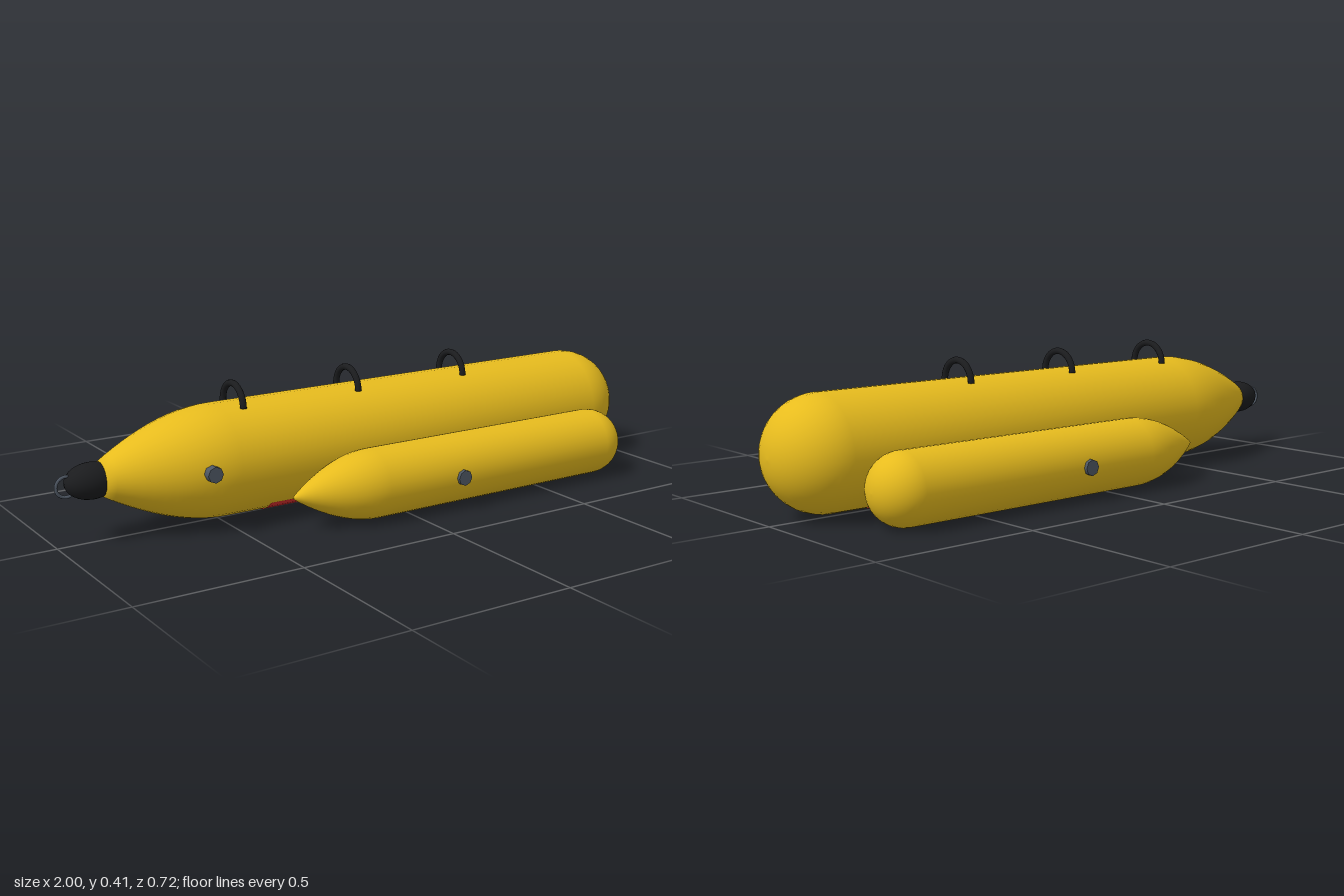
import * as THREE from 'three';

const mat = (name, color) => {
  const m = new THREE.MeshStandardMaterial({ color });
  m.name = name;
  return m;
};

// Inflated tube along x: blunt nose at x0, full radius from x1 to x2, round tail
function tubeGeometry(x0, x1, x2, noseR, R) {
  const pts = [new THREE.Vector2(0, x0)];
  const n = 12;
  for (let i = 0; i <= n; i++) {
    const t = i / n;
    const swell = Math.sin(t * Math.PI / 2) ** 0.93;
    pts.push(new THREE.Vector2(noseR + (R - noseR) * swell, x0 + (x1 - x0) * t));
  }
  for (let i = 0; i <= n; i++) {
    const a = (i / n) * Math.PI / 2;
    pts.push(new THREE.Vector2(i === n ? 0 : R * Math.cos(a), x2 + R * Math.sin(a)));
  }
  return new THREE.LatheGeometry(pts, 32).rotateZ(-Math.PI / 2);
}

export function createModel() {
  const yellow = mat('yellow vinyl', 0xeabe1e);
  const black = mat('black rubber', 0x1b1c1e);
  const grey = mat('grey fitting', 0x4f5864);
  const red = mat('red patch', 0xdc2f2f);
  red.side = THREE.DoubleSide;

  const group = new THREE.Group();
  const add = (name, geometry, material, x = 0, y = 0, z = 0) => {
    const mesh = new THREE.Mesh(geometry, material);
    mesh.name = name;
    mesh.position.set(x, y, z);
    group.add(mesh);
  };

  const R = 0.169, hullY = 0.182;
  const r = 0.105, sideY = 0.106, sideZ = 0.245;

  // Main tube
  add('mainTube', tubeGeometry(-0.87, -0.5, 0.831, 0.046, R), yellow, 0, hullY, 0);

  // Side tubes
  for (const s of [1, -1]) {
    add('sideTube', tubeGeometry(-0.38, -0.11, 0.732, 0.004, r), yellow, 0, sideY, s * sideZ);
  }

  // Valves: one on the main tube, one on the outside of each side tube
  const valve = new THREE.CylinderGeometry(0.024, 0.024, 0.03, 8).rotateX(Math.PI / 2);
  add('mainValve', valve, grey, -0.592, 0.193, 0.165);
  for (const s of [1, -1]) add('sideValve', valve, grey, 0.15, sideY, s * 0.345);

  // Grab handles across the top
  const handle = new THREE.TorusGeometry(0.063, 0.01, 10, 24, Math.PI).rotateY(Math.PI / 2);
  for (const x of [-0.438, -0.04, 0.358]) add('handle', handle, black, x, 0.34, 0);

  // Nose cap and tow ring
  add('noseCap', new THREE.SphereGeometry(0.053, 24, 16).scale(1.5, 1, 1), black, -0.89, hullY, 0);
  add('towRing', new THREE.TorusGeometry(0.03, 0.005, 8, 24), grey, -0.965, 0.176, 0);

  // Red patches wrapped round the belly
  const half = 0.75;
  for (const x of [-0.38, 0.02, 0.42]) {
    const edge = [new THREE.Vector2(R + 0.002, x), new THREE.Vector2(R + 0.002, x + 0.285)];
    const geometry = new THREE.LatheGeometry(edge, 8, Math.PI / 2 - half, 2 * half).rotateZ(-Math.PI / 2);
    add('bellyPatch', geometry, red, 0, hullY, 0);
  }

  return group;
}
